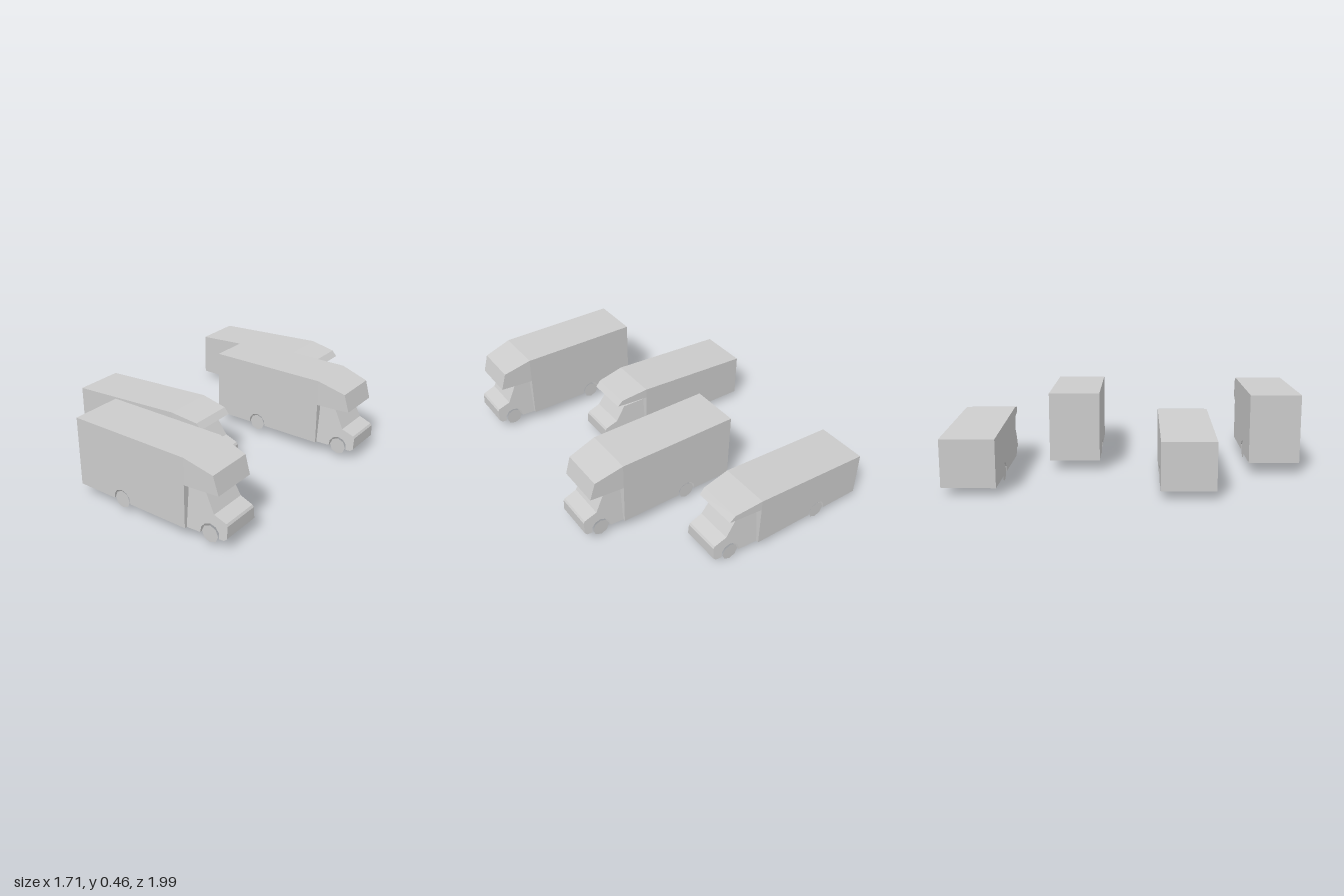
import * as THREE from 'three';
import { mergeGeometries } from 'three/addons/utils/BufferGeometryUtils.js';

const material = new THREE.MeshStandardMaterial({ color: 0xcccccc, flatShading: true, side: THREE.DoubleSide });
const ARCH = 0.056, WHEEL = 0.049;

// Wheel arch outline over a wheel at (u, y), starting and ending on the floor line
function archPoints(u, y, floor) {
  const a = Math.asin((floor - y) / ARCH), n = 6, pts = [];
  for (let i = 0; i <= n; i++) {
    const t = Math.PI - a + (2 * a - Math.PI) * (i / n);
    pts.push([u + ARCH * Math.cos(t), y + ARCH * Math.sin(t)]);
  }
  return pts;
}

// Thin shell: two side panels from a counter-clockwise profile, joined by a strip
// across the width. Edges starting at an index in `open` are left out.
function shell(name, profile, halfWidth, open) {
  const parts = [];
  for (const s of [1, -1]) {
    const g = new THREE.ShapeGeometry(new THREE.Shape(profile.map(p => new THREE.Vector2(...p)))).toNonIndexed();
    const pos = g.attributes.position;
    for (let i = 0; i < pos.count; i++) pos.setZ(i, s * halfWidth(pos.getX(i), pos.getY(i)));
    if (s < 0) {
      for (let i = 0; i < pos.count; i += 3) {
        const b = [pos.getX(i + 1), pos.getY(i + 1), pos.getZ(i + 1)];
        pos.setXYZ(i + 1, pos.getX(i + 2), pos.getY(i + 2), pos.getZ(i + 2));
        pos.setXYZ(i + 2, ...b);
      }
    }
    g.deleteAttribute('uv');
    g.deleteAttribute('normal');
    parts.push(g);
  }
  const strip = [];
  profile.forEach((a, i) => {
    if (open.includes(i)) return;
    const b = profile[(i + 1) % profile.length];
    const at = (p, s) => [p[0], p[1], s * halfWidth(p[0], p[1])];
    const [a1, a2, b2, b1] = [at(a, 1), at(a, -1), at(b, -1), at(b, 1)];
    strip.push(...a1, ...a2, ...b2, ...a1, ...b2, ...b1);
  });
  const sg = new THREE.BufferGeometry();
  sg.setAttribute('position', new THREE.Float32BufferAttribute(strip, 3));
  parts.push(sg);
  const geo = mergeGeometries(parts);
  geo.computeVertexNormals();
  const mesh = new THREE.Mesh(geo, material);
  mesh.name = name;
  return mesh;
}

// Motorhome running along +x from its rear wall at x = 0
function motorhome(o) {
  const van = new THREE.Group();
  const { floor, wall, under, cab } = o;
  const wheelY = floor + 0.009;

  // Living compartment, open underneath, with the rear wheel arch running through
  const rear = archPoints(o.rearWheel, wheelY, floor);
  const house = [[0, floor], ...rear, [wall, floor], [wall, under], [wall, o.roofFront], [0, o.roofRear]];
  van.add(shell('livingCompartment', house, () => 0.145, [0, rear.length, rear.length + 2]));

  // Sleeping alcove over the cab, tapering forward
  const alcove = [[wall, under], [0.904, under], [0.874, o.brow], [wall, o.roofFront]];
  if (o.frontLean) alcove[2][0] -= o.frontLean;
  van.add(shell('alcove', alcove, u => 0.145 - 0.018 * (u - wall) / (0.904 - wall), [3]));

  // Driver's cab with sloping windscreen and short bonnet
  const front = archPoints(cab.wheel, wheelY, floor);
  const cabProfile = [
    [wall, floor], ...front, [cab.nose - 0.015, floor], [cab.nose, floor + 0.015],
    [cab.nose, cab.bonnet], [cab.nose - 0.008, cab.bonnet + 0.012],
    [cab.screenBase, cab.screenY], [cab.roofEnd, cab.roof], [wall, cab.roof + 0.005],
  ];
  const cabWidth = (u, y) => 0.13 - 0.06 * (u - wall) - 0.1 * (y - floor);
  van.add(shell('cab', cabProfile, cabWidth, [0, front.length, cabProfile.length - 1]));

  // Flat eight-sided wheels
  for (const [u, v, name] of [[o.rearWheel, 0.142, 'rearWheel'], [cab.wheel, cabWidth(cab.wheel, wheelY) - 0.002, 'frontWheel']]) {
    for (const s of [1, -1]) {
      const wheel = new THREE.Mesh(new THREE.CircleGeometry(WHEEL, 8), material);
      wheel.position.set(u, wheelY, s * v);
      if (s < 0) wheel.rotation.y = Math.PI;
      wheel.name = name;
      van.add(wheel);
    }
  }
  return van;
}

export function createModel() {
  const model = new THREE.Group();
  model.name = 'parkedMotorhomes';

  const tall = {
    floor: 0.064, wall: 0.71, under: 0.308, roofRear: 0.458, roofFront: 0.458, brow: 0.41,
    rearWheel: 0.294,
    cab: { wheel: 0.845, nose: 0.943, bonnet: 0.145, screenBase: 0.863, screenY: 0.183, roofEnd: 0.807, roof: 0.292 },
  };
  const low = {
    floor: 0.042, wall: 0.71, under: 0.283, roofRear: 0.302, roofFront: 0.342, brow: 0.316,
    rearWheel: 0.29,
    cab: { wheel: 0.88, nose: 0.985, bonnet: 0.122, screenBase: 0.903, screenY: 0.16, roofEnd: 0.845, roof: 0.246 },
  };

  // Four vehicles parked in parallel, each placed by the middle of its rear wall
  const bays = [
    ['lowMotorhome', low, -0.83, -0.708], ['tallMotorhome', tall, -0.237, -0.288],
    ['lowMotorhome', low, -0.685, 0.43], ['tallMotorhome', tall, -0.09, 0.853],
  ];
  for (const [name, options, x, z] of bays) {
    const van = motorhome(options);
    van.name = name;
    van.position.set(x, 0, z);
    van.rotation.y = 0.175;
    model.add(van);
  }
  return model;
}
